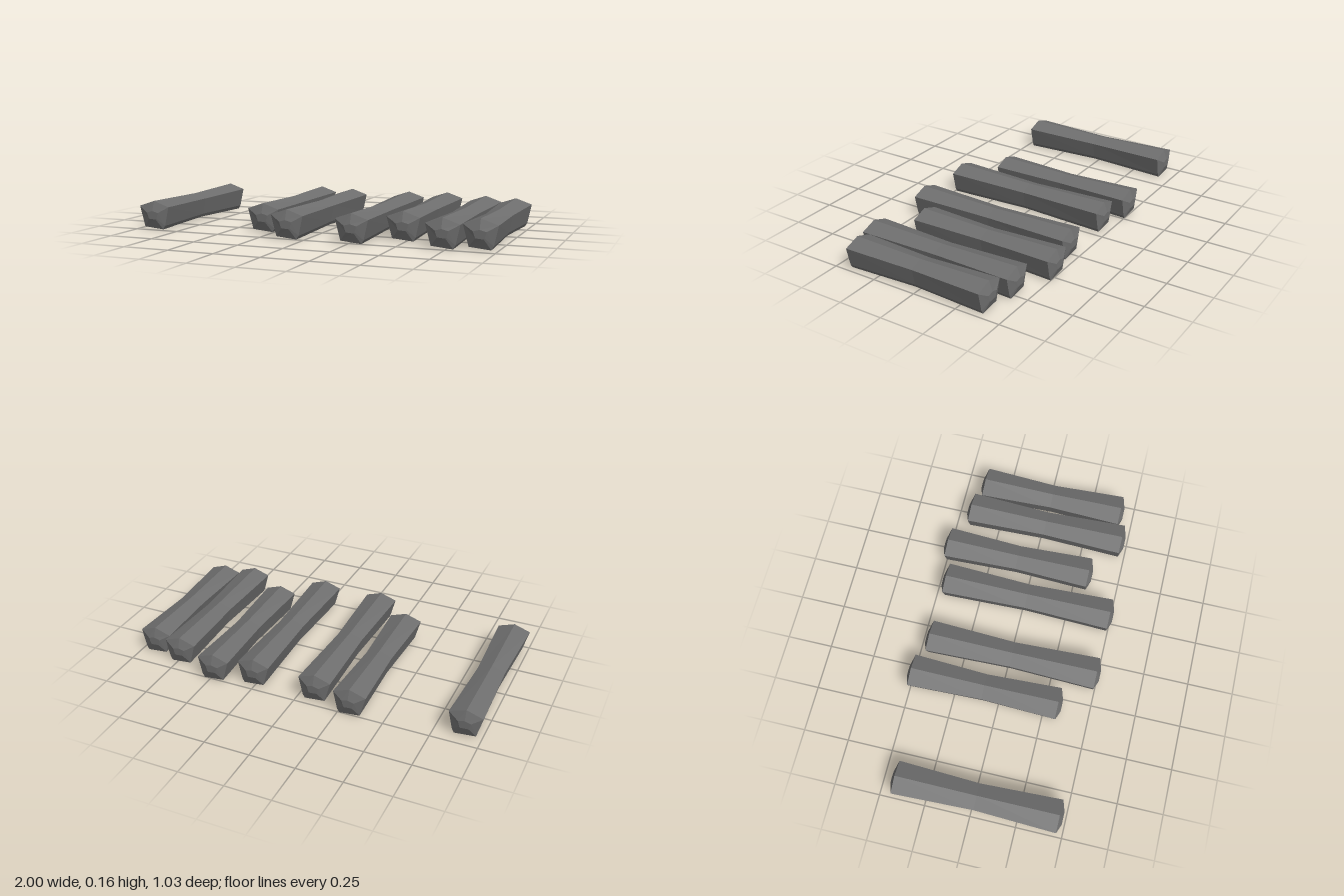
import * as THREE from 'three';

// cross-section of a log end, anticlockwise seen from the front
const rim = [[0, 0.157], [-0.09, 0.126], [-0.059, 0.013], [0.055, 0.002], [0.067, 0.022], [0.09, 0.126]];
const CENTRE_Y = 0.08;

// the rim shrunk towards the log's axis
function ring(z, sx, sy) {
  return rim.map(([x, y]) => [x * sx, CENTRE_Y + (y - CENTRE_Y) * sy, z]);
}

// loft: small end facet, rim, narrow waist, rim, small end facet
function logGeometry(length) {
  const h = length / 2;
  const rings = [
    ring(h, 0.38, 0.3), ring(h - 0.02, 1, 1), ring(0, 0.81, 0.88),
    ring(-h + 0.02, 1, 1), ring(-h, 0.38, 0.3),
  ];
  const n = rim.length;
  const points = rings.flat();
  points.push([0, CENTRE_Y, h], [0, CENTRE_Y, -h]);
  const front = n * rings.length, back = front + 1, last = n * (rings.length - 1);
  const index = [];
  for (let j = 0; j < n; j++) {
    const k = (j + 1) % n;
    for (let i = 0; i < rings.length - 1; i++) {
      const a = i * n + j, b = i * n + k, c = a + n, d = b + n;
      index.push(a, c, b, b, c, d);
    }
    index.push(front, j, k, back, last + k, last + j);
  }
  const geometry = new THREE.BufferGeometry();
  geometry.setAttribute('position', new THREE.Float32BufferAttribute(points.flat(), 3));
  geometry.setIndex(index);
  const flat = geometry.toNonIndexed();
  flat.computeVertexNormals();
  return flat;
}

export function createModel() {
  const group = new THREE.Group();
  group.name = 'logRow';
  const grey = new THREE.MeshStandardMaterial({ color: 0x6e6e6e });
  grey.name = 'dark grey';

  // centre x, back z, front z of each log
  const logs = [
    [-0.91, -0.445, 0.485], [-0.315, -0.52, 0.345], [-0.098, -0.475, 0.512],
    [0.26, -0.475, 0.512], [0.48, -0.52, 0.345], [0.728, -0.445, 0.485], [0.908, -0.405, 0.442],
  ];
  logs.forEach(([x, back, front], i) => {
    const log = new THREE.Mesh(logGeometry(front - back), grey);
    log.name = `log${i + 1}`;
    log.position.set(x, 0, (front + back) / 2);
    group.add(log);
  });
  return group;
}
